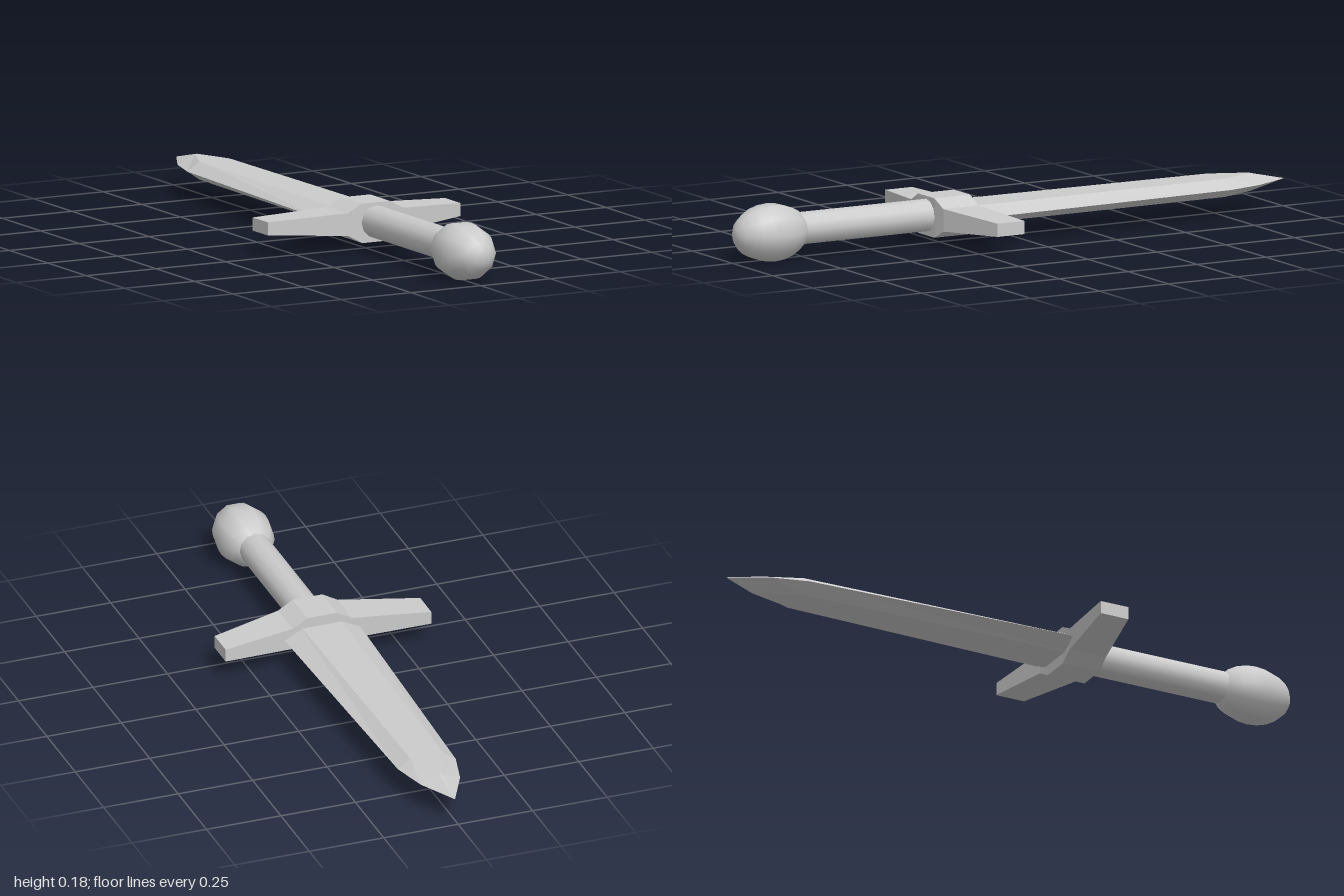
import * as THREE from 'three';

const CX = 0.01, CY = 0.09; // long axis of the dagger

// Skin between rings of points, each counter-clockwise seen from the far end, with closed ends
function loft(rings) {
  const pos = [];
  const tri = (a, b, c) => pos.push(...a, ...b, ...c);
  const n = rings[0].length;
  for (let k = 0; k < rings.length - 1; k++) {
    const a = rings[k], b = rings[k + 1];
    for (let i = 0; i < n; i++) {
      const j = (i + 1) % n;
      tri(a[i], a[j], b[j]);
      tri(a[i], b[j], b[i]);
    }
  }
  const first = rings[0], last = rings[rings.length - 1];
  for (let i = 1; i < n - 1; i++) {
    tri(first[0], first[i + 1], first[i]);
    tri(last[0], last[i], last[i + 1]);
  }
  const geo = new THREE.BufferGeometry();
  geo.setAttribute('position', new THREE.Float32BufferAttribute(pos, 3));
  geo.computeVertexNormals();
  return geo;
}

export function createModel() {
  const group = new THREE.Group();
  const flat = new THREE.MeshStandardMaterial({ color: 0xcccccc, flatShading: true });
  const smooth = new THREE.MeshStandardMaterial({ color: 0xcccccc });
  const add = (name, geo, mat) => {
    const mesh = new THREE.Mesh(geo, mat);
    mesh.name = name;
    group.add(mesh);
    return mesh;
  };

  // Blade: six-sided section [z, half width, half flat width, half thickness]
  const blade = [
    [-0.998, 0, 0, 0],
    [-0.87, 0.066, 0.004, 0.029],
    [-0.75, 0.097, 0.054, 0.029],
    [0.24, 0.13, 0.067, 0.029],
  ].map(([z, w, r, h]) =>
    [[w, 0], [r, h], [-r, h], [-w, 0], [-r, -h], [r, -h]].map(([x, y]) => [CX + x, CY + y, z]));
  add('blade', loft(blade), flat);

  // Crossguard: rectangular section [x, half height, back z, front z]
  const guard = [
    [-0.346, 0.021, 0.145, 0.243],
    [-0.09, 0.036, 0.17, 0.298],
    [-0.04, 0.063, 0.172, 0.302],
    [0.06, 0.063, 0.172, 0.302],
    [0.11, 0.036, 0.17, 0.298],
    [0.346, 0.021, 0.141, 0.239],
  ].map(([x, h, z0, z1]) =>
    [[-h, z0], [h, z0], [h, z1], [-h, z1]].map(([y, z]) => [x, CY + y, z]));
  add('crossguard', loft(guard), flat);

  // Grip
  const grip = new THREE.CylinderGeometry(0.052, 0.052, 0.54, 12);
  grip.rotateX(Math.PI / 2);
  add('grip', grip, smooth).position.set(CX, CY + 0.002, 0.53);

  // Egg-shaped pommel with ten sides
  const pommel = new THREE.SphereGeometry(1, 10, 12);
  pommel.rotateX(Math.PI / 2);
  pommel.scale(0.093, 0.093, 0.13);
  add('pommel', pommel, smooth).position.set(CX, 0.0885, 0.868);

  return group;
}
